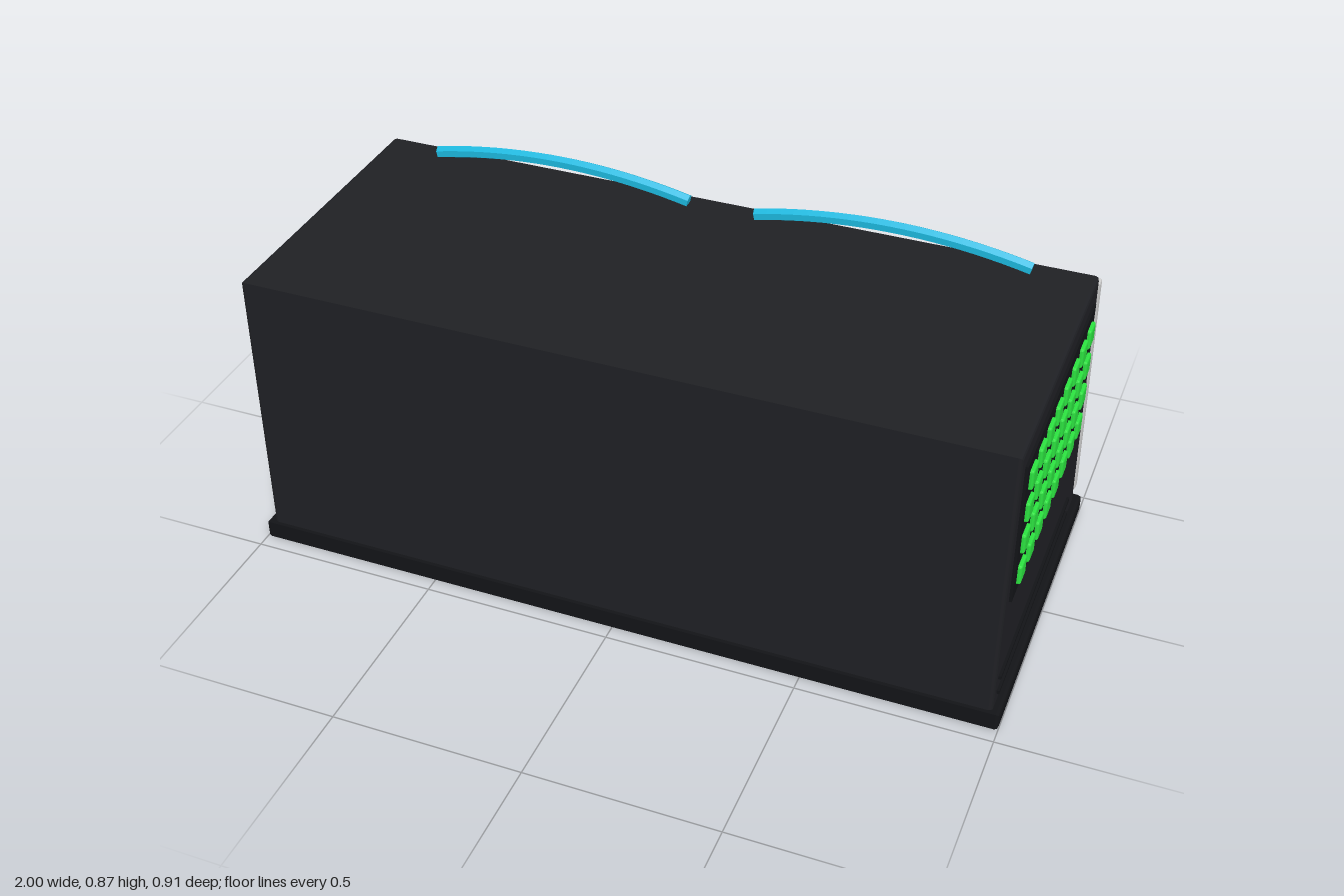
import * as THREE from 'three';
import { RoundedBoxGeometry } from 'three/addons/geometries/RoundedBoxGeometry.js';

const mat = (color) => new THREE.MeshStandardMaterial({ color, flatShading: true });
const BODY = mat(0x1f2024), DARK = mat(0x131417), GREEN = mat(0x2be03f), BLUE = mat(0x1cb8de), GREY = mat(0xcccccc);

function add(parent, name, geometry, material, x = 0, y = 0, z = 0) {
  const mesh = new THREE.Mesh(geometry, material);
  mesh.name = name;
  mesh.position.set(x, y, z);
  parent.add(mesh);
  return mesh;
}

// Extrudes a (z, y) side profile across the full width, with a small bevel
function sideProfile(points, halfWidth, bevel) {
  const shape = new THREE.Shape(points.map(([z, y]) => new THREE.Vector2(z, y)));
  const depth = 2 * (halfWidth - bevel);
  const geo = new THREE.ExtrudeGeometry(shape, {
    depth, bevelEnabled: true, bevelThickness: bevel, bevelSize: bevel, bevelOffset: -bevel, bevelSegments: 2,
  });
  return geo.translate(0, 0, -depth / 2).rotateY(-Math.PI / 2);
}

// Panel in the local xy plane facing +z, with a grid of four rows of raised keys
function keyPanel(name, width, height, columns, pitch) {
  const panel = new THREE.Group();
  panel.name = name;
  add(panel, 'keyPlate', new THREE.BoxGeometry(width, height, 0.014), DARK);
  const keyGeo = new RoundedBoxGeometry(0.052, 0.054, 0.024, 1, 0.005);
  for (let r = 0; r < 4; r++) {
    for (let c = 0; c < columns; c++) {
      add(panel, 'key', keyGeo, GREEN, (c - (columns - 1) / 2) * pitch, (1.5 - r) * 0.092, 0.005);
    }
  }
  return panel;
}

export function createModel() {
  const model = new THREE.Group();
  model.name = 'console';

  // Cabinet with sloping back, on a wider plinth
  const top = 0.8, low = 0.045, backLow = -0.432, backTop = -0.349;
  add(model, 'body', sideProfile([[0.449, 0.02], [0.449, top], [backTop, top], [backLow - 0.003, 0.02]], 0.979, 0.009), BODY);
  add(model, 'base', sideProfile([[0.459, 0], [0.459, 0.047], [-0.447, 0.047], [-0.447, 0]], 1, 0.009), DARK);

  // Key panels and two thin ribs on each side
  for (const s of [-1, 1]) {
    const panel = keyPanel('sideKeyPanel', 0.709, 0.392, 8, 0.0857);
    panel.position.set(s * 0.979, 0.554, 0.0525);
    panel.rotation.y = s * Math.PI / 2;
    model.add(panel);
    for (const y of [0.083, 0.13]) {
      add(model, 'sideRib', new THREE.BoxGeometry(0.014, 0.01, 0.733), DARK, s * 0.979, y, 0.053);
    }
  }

  // Back face group: local y runs up the slope, local +z points outward
  const tilt = Math.atan2(backTop - backLow, top - low);
  const slope = (y) => (y - low) / Math.cos(tilt);
  const pivot = new THREE.Group();
  pivot.name = 'backFace';
  pivot.position.set(0, low, backLow);
  pivot.rotation.x = tilt;
  const back = new THREE.Group();
  back.name = 'backParts';
  back.rotation.y = Math.PI;
  pivot.add(back);
  model.add(pivot);

  const backPanel = keyPanel('backKeyPanel', 1.79, 0.392, 20, 0.0884);
  backPanel.position.y = slope(0.554);
  back.add(backPanel);

  // Corner trim strips
  for (const s of [-1, 1]) {
    add(back, 'cornerTrim', new RoundedBoxGeometry(0.034, 0.705, 0.026, 1, 0.005), GREY, s * 0.966, slope(0.43), 0.009);
  }

  // Framed screen
  const w = 0.61, h = 0.125, border = 0.026;
  const rect = (T, a, b) => new T([[-a, -b], [a, -b], [a, b], [-a, b]].map(([x, y]) => new THREE.Vector2(x, y)));
  const frame = rect(THREE.Shape, w, h);
  frame.holes.push(rect(THREE.Path, w - border, h - border));
  const frameGeo = new THREE.ExtrudeGeometry(frame, {
    depth: 0.022, bevelEnabled: true, bevelThickness: 0.004, bevelSize: 0.004, bevelOffset: -0.004, bevelSegments: 1,
  });
  add(back, 'screenFrame', frameGeo, BLUE, 0, slope(0.204), 0);
  add(back, 'screen', new THREE.BoxGeometry(2 * (w - border) + 0.01, 2 * (h - border) + 0.01, 0.02), GREY, 0, slope(0.204), 0.004);

  // Screws along the bottom edge and beside the key panel
  const screwGeo = new THREE.CylinderGeometry(0.005, 0.005, 0.008, 8).rotateX(Math.PI / 2);
  for (let i = 0; i < 9; i++) add(back, 'screw', screwGeo, GREY, -0.91 + i * 0.2275, slope(0.07), 0.003);
  for (const s of [-1, 1]) {
    for (const y of [0.34, 0.765]) add(back, 'screw', screwGeo, GREY, s * 0.905, slope(y), 0.003);
  }

  // Two arched hexagonal handles on top
  const hex = new THREE.Shape();
  for (let i = 0; i < 6; i++) {
    const a = (i + 0.5) * Math.PI / 3;
    hex[i ? 'lineTo' : 'moveTo'](0.017 * Math.cos(a), 0.017 * Math.sin(a));
  }
  hex.closePath();
  for (const s of [-1, 1]) {
    const path = new THREE.QuadraticBezierCurve3(
      new THREE.Vector3(-0.363, 0.81, 0), new THREE.Vector3(0, 0.892, 0), new THREE.Vector3(0.363, 0.81, 0));
    const geo = new THREE.ExtrudeGeometry(hex, { steps: 20, extrudePath: path, bevelEnabled: false });
    add(model, 'handle', geo, BLUE, s * 0.455, 0, -0.308);
  }

  return model;
}
